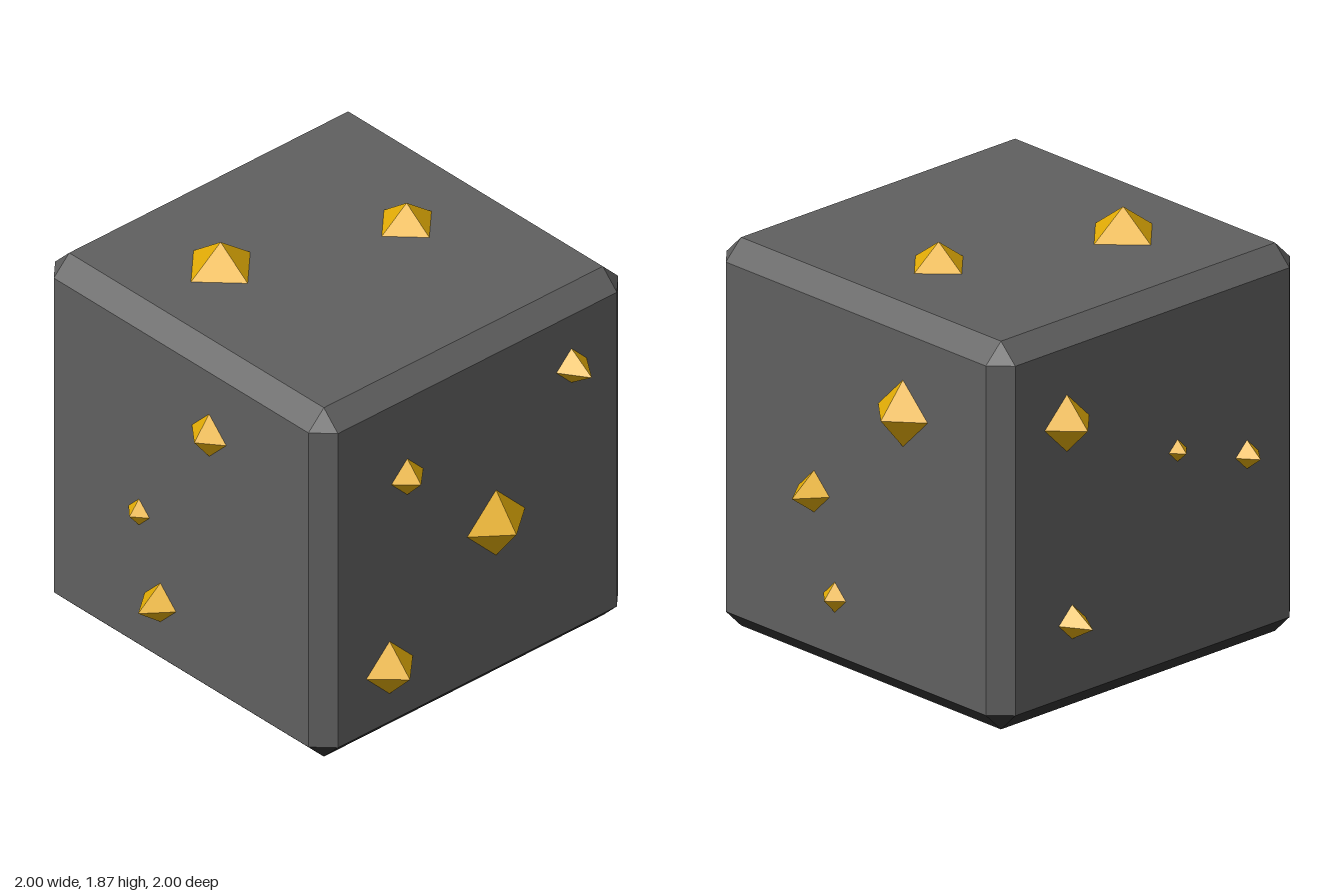
import * as THREE from 'three';
import { ConvexGeometry } from 'three/addons/geometries/ConvexGeometry.js';

const H = 0.873;  // half side of the block
const C = 0.786;  // half side of each flat face inside the bevel

// Crystals per face: [position x, y, z, base radius, height]
const CRYSTALS = {
  front: { normal: [0, 0, 1], list: [
    [0.173, 1.345, H, 0.106, 0.084], [-0.26, 0.748, H, 0.065, 0.054], [-0.128, 0.36, H, 0.097, 0.125]] },
  back: { normal: [0, 0, -1], list: [
    [-0.285, 1.297, -H, 0.15, 0.127], [0.253, 0.787, -H, 0.094, 0.127], [0.127, 0.347, -H, 0.068, 0.062]] },
  left: { normal: [1, 0, 0], list: [
    [H, 0.813, -0.105, 0.163, 0.126], [H, 0.358, 0.495, 0.131, 0.126],
    [H, 1.268, 0.395, 0.09, 0.085], [H, 1.408, -0.53, 0.085, 0.126]] },
  right: { normal: [-1, 0, 0], list: [
    [-H, 1.32, -0.49, 0.128, 0.127], [-H, 1.018, 0.145, 0.05, 0.054],
    [-H, 0.888, 0.543, 0.065, 0.083], [-H, 0.418, -0.46, 0.077, 0.127]] },
  top: { normal: [0, 1, 0], list: [
    [-0.283, 2 * H, 0.392, 0.167, 0.124], [0, 2 * H, -0.398, 0.14, 0.104]] },
};

// Cube with a single flat bevel on every edge and a triangle at every corner.
// Faces lying wholly in the lower bevel or underside use material 1.
function bevelledCube() {
  const points = [];
  for (const x of [-1, 1]) for (const y of [-1, 1]) for (const z of [-1, 1]) {
    points.push(
      new THREE.Vector3(x * H, y * C, z * C),
      new THREE.Vector3(x * C, y * H, z * C),
      new THREE.Vector3(x * C, y * C, z * H));
  }
  const g = new ConvexGeometry(points);
  const p = g.attributes.position;
  for (let i = 0; i < p.count; i += 3) {
    const highest = Math.max(p.getY(i), p.getY(i + 1), p.getY(i + 2));
    g.addGroup(i, 3, highest < 0.01 - C ? 1 : 0);
  }
  return g;
}

// Four-sided flat-faced spike, base on y = 0
function spike(radius, height) {
  const g = new THREE.ConeGeometry(radius, height, 4, 1, true).toNonIndexed();
  g.translate(0, height / 2, 0);
  g.computeVertexNormals();
  return g;
}

export function createModel() {
  const model = new THREE.Group();
  model.name = 'oreBlock';

  const stone = new THREE.MeshStandardMaterial({ color: 0x606060 });
  stone.name = 'grey stone';
  const darkStone = new THREE.MeshStandardMaterial({ color: 0x333333 });
  darkStone.name = 'dark stone';
  const gold = new THREE.MeshStandardMaterial({ color: 0xe5ae06 });
  gold.name = 'gold';

  // Stone block with a darker underside
  const block = new THREE.Mesh(bevelledCube(), [stone, darkStone]);
  block.name = 'stoneBlock';
  block.position.y = H;
  model.add(block);

  // Gold crystals growing out of the faces
  const up = new THREE.Vector3(0, 1, 0);
  for (const [face, { normal, list }] of Object.entries(CRYSTALS)) {
    const group = new THREE.Group();
    group.name = face + 'Crystals';
    const direction = new THREE.Vector3(...normal);
    list.forEach(([x, y, z, radius, height], i) => {
      const crystal = new THREE.Mesh(spike(radius, height), gold);
      crystal.name = face + 'Crystal' + (i + 1);
      crystal.position.set(x, y, z);
      crystal.quaternion.setFromUnitVectors(up, direction);
      group.add(crystal);
    });
    model.add(group);
  }
  return model;
}
